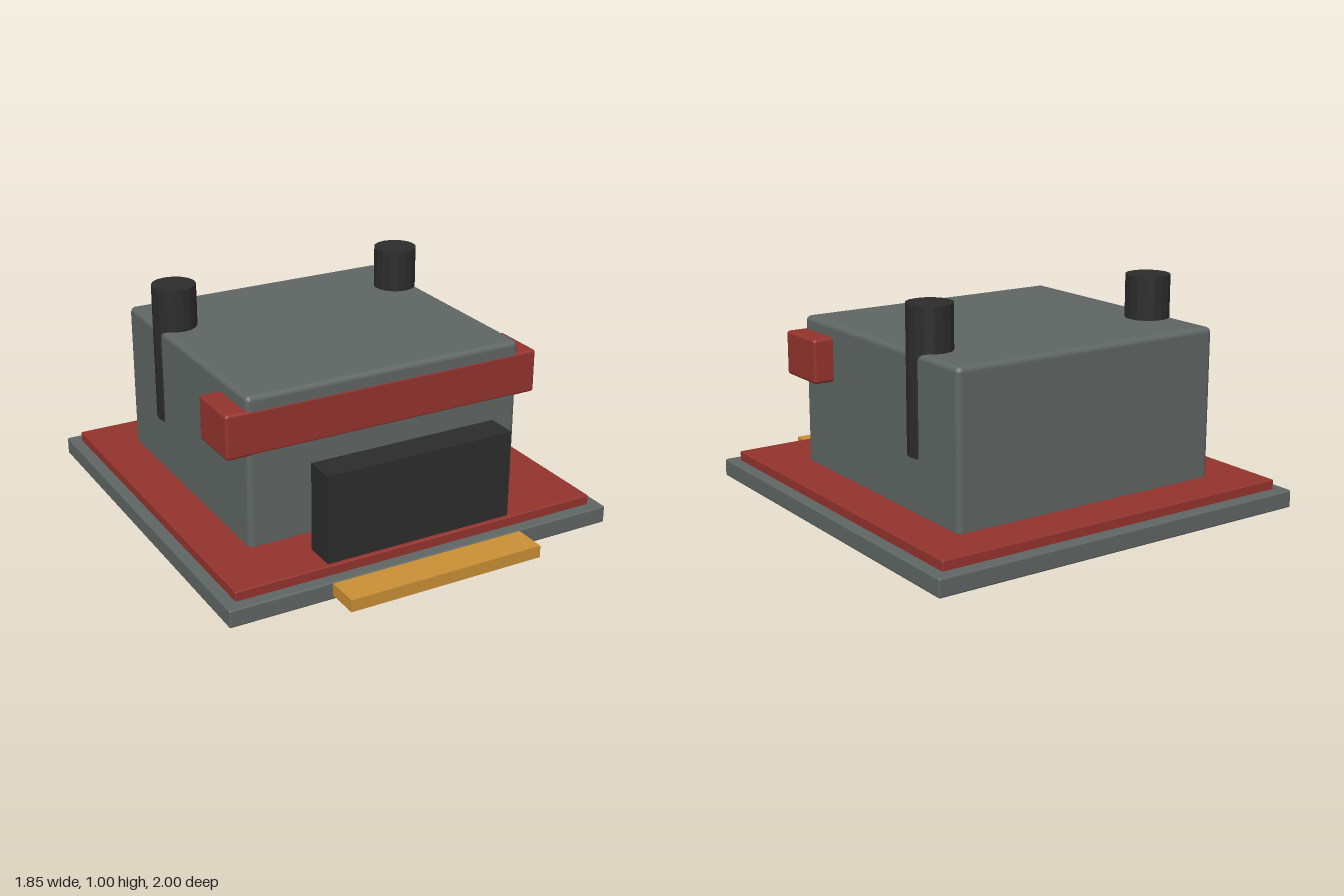
import * as THREE from 'three';
import { RoundedBoxGeometry } from 'three/addons/geometries/RoundedBoxGeometry.js';

const mat = (name, color) => new THREE.MeshStandardMaterial({ name, color });

export function createModel() {
  const group = new THREE.Group();
  const grey = mat('slate grey', 0x5f6664);
  const red = mat('brick red', 0x94332d);
  const black = mat('charcoal', 0x2c2c2c);
  const gold = mat('ochre', 0xc98f35);
  black.flatShading = true;

  // Box given by its limits on each axis, with optional softened edges
  function box(name, material, [x0, x1], [y0, y1], [z0, z1], radius = 0) {
    const size = [x1 - x0, y1 - y0, z1 - z0];
    const geometry = radius
      ? new RoundedBoxGeometry(...size, 2, radius)
      : new THREE.BoxGeometry(...size);
    const mesh = new THREE.Mesh(geometry, material);
    mesh.name = name;
    mesh.position.set((x0 + x1) / 2, (y0 + y1) / 2, (z0 + z1) / 2);
    group.add(mesh);
  }

  // Stepped base
  box('basePlate', grey, [-0.923, 0.923], [0, 0.08], [-1, 0.85], 0.008);
  box('trimPlate', red, [-0.87, 0.87], [0.07, 0.123], [-0.943, 0.795], 0.006);
  box('frontStep', gold, [-0.46, 0.46], [0.02, 0.075], [0.8, 1]);

  // Main block with the band wrapped round its front
  box('body', grey, [-0.663, 0.663], [0.1, 0.8], [-0.74, 0.5], 0.025);
  box('frontBand', red, [-0.757, 0.757], [0.54, 0.74], [0.245, 0.502], 0.014);

  // Upright panel standing before the body
  box('frontPanel', black, [-0.443, 0.443], [0.11, 0.52], [0.635, 0.777]);

  // Pair of posts sunk into the sides of the body
  for (const side of [-1, 1]) {
    const post = new THREE.Mesh(new THREE.CylinderGeometry(0.1, 0.1, 0.635, 16), black);
    post.name = side > 0 ? 'leftPost' : 'rightPost';
    post.position.set(side * 0.575, 0.6775, -0.407);
    group.add(post);
  }
  return group;
}
